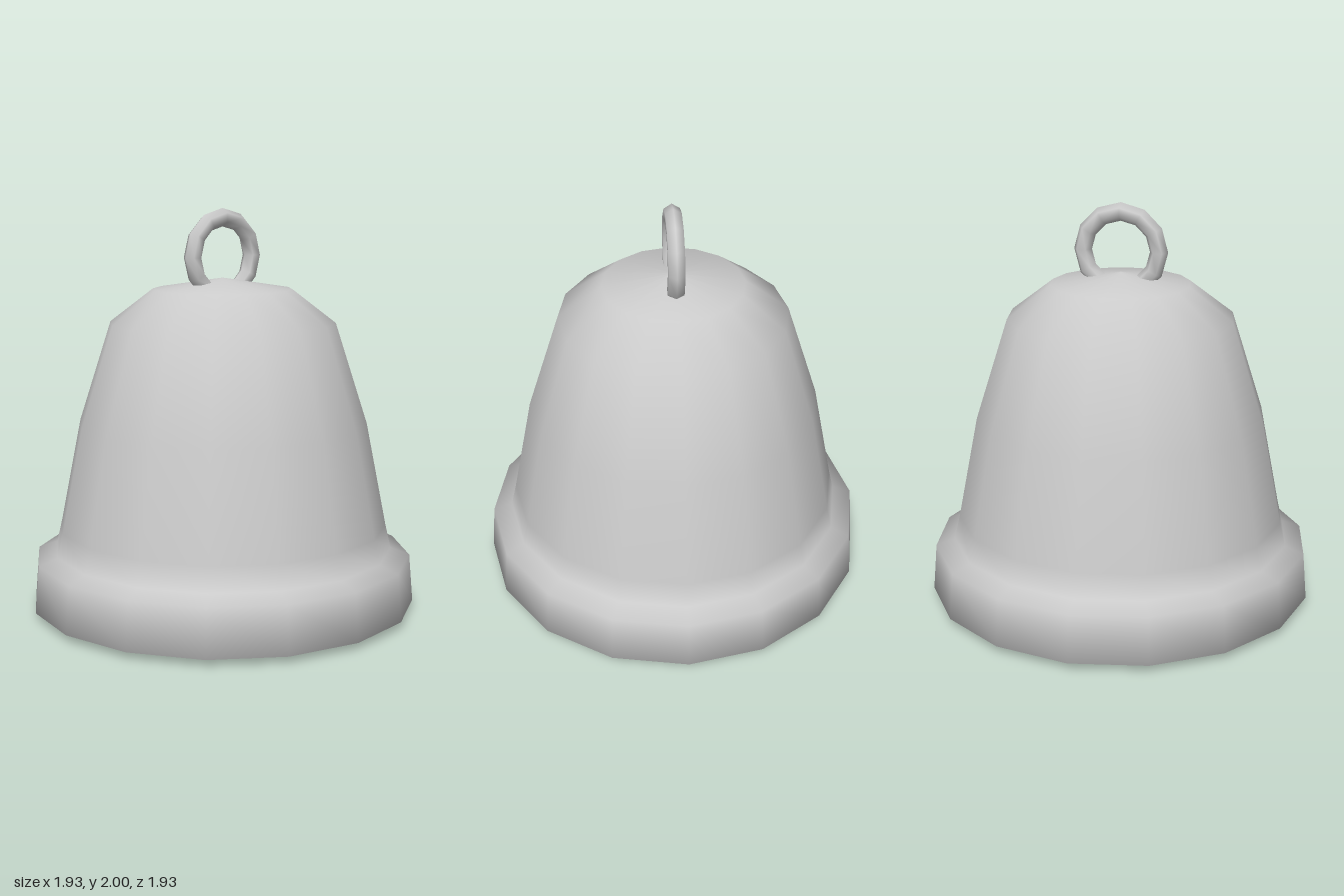
import * as THREE from 'three';

export function createModel() {
  const model = new THREE.Group();
  model.name = 'bell';
  const material = new THREE.MeshStandardMaterial({ color: 0xcccccc, side: THREE.DoubleSide });

  // Hollow body: down the inner wall, round the lip, up the outer wall
  const profile = [
    [0, 1.55], [0.31, 1.51], [0.5, 1.37], [0.65, 0.92], [0.76, 0.4], [0.79, 0.2], [0.83, 0],
    [0.965, 0.035], [0.945, 0.27], [0.85, 0.305], [0.822, 0.425], [0.72, 0.94],
    [0.56, 1.44], [0.345, 1.605], [0, 1.66],
  ].map(([r, y]) => new THREE.Vector2(r, y));
  const body = new THREE.Mesh(new THREE.LatheGeometry(profile, 16), material);
  body.name = 'bellBody';
  model.add(body);

  // Hanging loop: most of a ring, its ends sunk into the crown
  const loopGeometry = new THREE.TorusGeometry(0.19, 0.045, 6, 10, Math.PI * 5 / 3);
  loopGeometry.rotateZ(-Math.PI / 3).rotateY(Math.PI / 2);
  const loop = new THREE.Mesh(loopGeometry, material);
  loop.name = 'hangingLoop';
  loop.position.y = 1.765;
  model.add(loop);

  return model;
}
